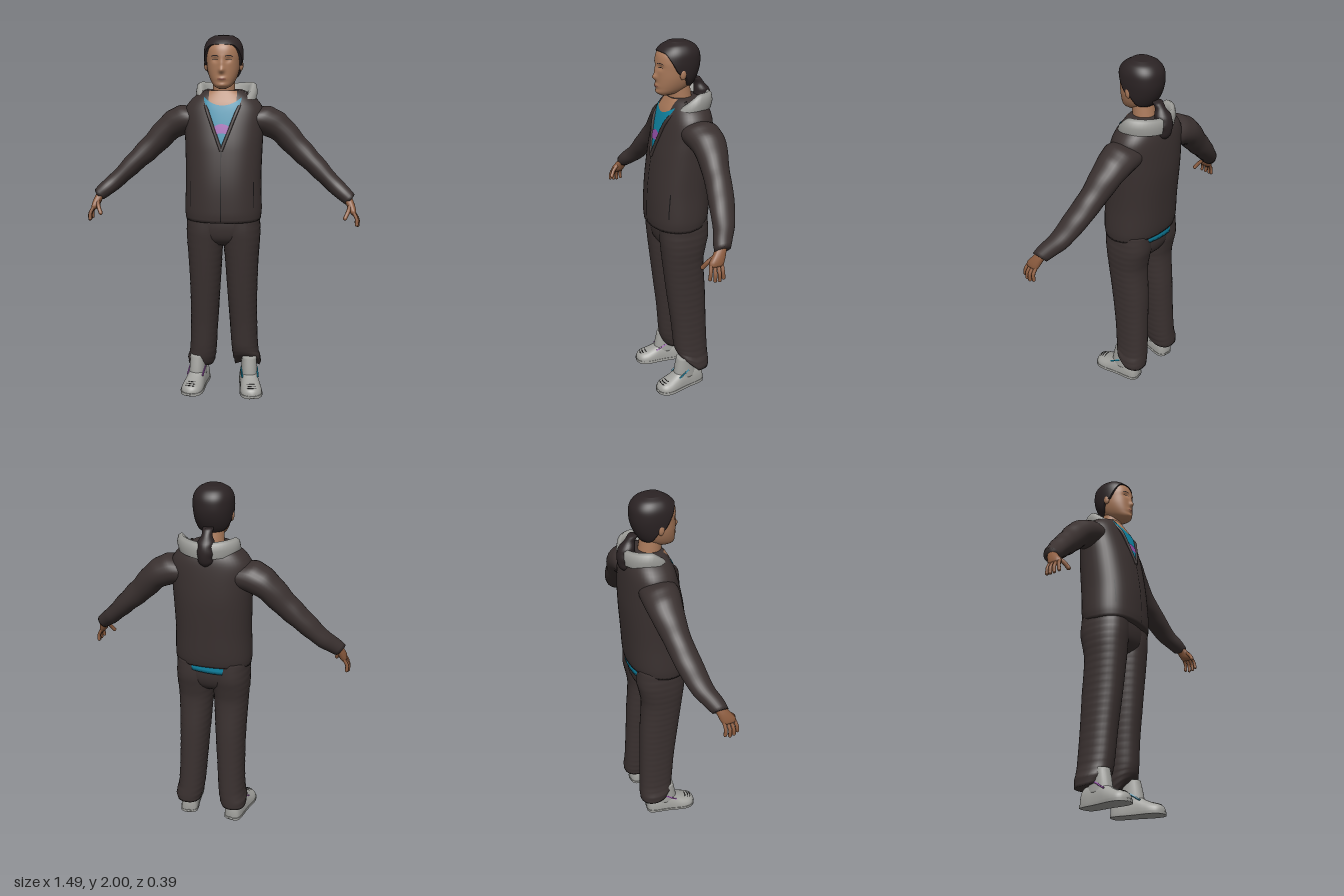
import * as THREE from 'three';
import { mergeVertices } from 'three/addons/utils/BufferGeometryUtils.js';

const mat = (name, color, side = THREE.FrontSide) => {
  const m = new THREE.MeshStandardMaterial({ color, side });
  m.name = name;
  return m;
};

// Smooth interpolation of a keyed table: rows are [key, value, value, ...]
function at(tb, k) {
  let i = 0;
  while (i < tb.length - 2 && k > tb[i + 1][0]) i++;
  const a = tb[i], b = tb[i + 1], h = b[0] - a[0], t = (k - a[0]) / h;
  const slope = (n, c) => {
    const p = tb[Math.max(n - 1, 0)], q = tb[Math.min(n + 1, tb.length - 1)];
    return (q[c] - p[c]) / (q[0] - p[0]);
  };
  return a.slice(1).map((v, j) => {
    const c = j + 1, t2 = t * t, t3 = t2 * t;
    return v * (2 * t3 - 3 * t2 + 1) + b[c] * (3 * t2 - 2 * t3)
      + h * (slope(i, c) * (t3 - 2 * t2 + t) + slope(i + 1, c) * (t3 - t2));
  });
}

// Grid of points from rows of equal length
function skin(rows, orient = false) {
  const w = rows[0].length, idx = [];
  for (let i = 0; i < rows.length - 1; i++) for (let j = 0; j < w - 1; j++) {
    const a = i * w + j, c = a + w;
    idx.push(a, c, a + 1, a + 1, c, c + 1);
  }
  const pts = rows.flat();
  if (orient) {
    let vol = 0;
    const v = (n) => new THREE.Vector3(...pts[idx[n]]);
    for (let n = 0; n < idx.length; n += 3) vol += v(n).dot(v(n + 1).cross(v(n + 2)));
    if (vol < 0) idx.reverse();
  }
  let g = new THREE.BufferGeometry();
  g.setAttribute('position', new THREE.Float32BufferAttribute(pts.flat(), 3));
  g.setIndex(idx);
  g = mergeVertices(g, 1e-5);
  g.computeVertexNormals();
  return g;
}

const power = (v, n) => Math.sign(v) * Math.abs(v) ** (2 / n);

// Closed body through the cross-sections of a table
function loft(tb, ring, rows = 30, segs = 36, n = 2.3) {
  const k0 = tb[0][0], k1 = tb[tb.length - 1][0], out = [];
  for (let i = 0; i <= rows; i++) {
    const k = k0 + (k1 - k0) * i / rows, v = at(tb, k), r = [];
    for (let j = 0; j <= segs; j++) {
      const a = (j % segs) / segs * Math.PI * 2;
      r.push(ring(k, v, power(Math.cos(a), n), power(Math.sin(a), n)));
    }
    out.push(r);
  }
  const cap = (r) => {
    const c = [0, 1, 2].map((q) => r.slice(1).reduce((s, p) => s + p[q], 0) / segs);
    return r.map(() => c);
  };
  return skin([cap(out[0]), ...out, cap(out[rows])], true);
}

// Upright section: half width, front z, back z, optional centre x
const upright = (y, [hx, zf, zb, cx = 0], c, s) => [cx + hx * c, y, (zf + zb) / 2 + (zf - zb) / 2 * s];
const frontZ = (tb, x, y, n = 2.3) => {
  const [hx, zf, zb] = at(tb, y);
  return (zf + zb) / 2 + (zf - zb) / 2 * Math.max(0, 1 - Math.abs(x / hx) ** n) ** (1 / n);
};
// Thin plate lying on a front surface
function plate(zAt, x0, x1, low, high, nx = 24, ny = 10) {
  const rows = [];
  for (let i = 0; i <= nx; i++) {
    const x = x0 + (x1 - x0) * i / nx, a = low(x), b = Math.max(high(x), a + 1e-4), r = [];
    for (let j = 0; j <= ny; j++) {
      const y = b + (a - b) * j / ny;
      r.push([x, y, zAt(x, y)]);
    }
    rows.push(r);
  }
  return skin(rows.reverse());
}
const tube = (pts, r, segs = 24) => new THREE.TubeGeometry(
  new THREE.CatmullRomCurve3(pts.map((p) => new THREE.Vector3(...p))), segs, r, 8);

const TORSO = [[1.01, .208, .168, -.152], [1.06, .213, .172, -.16], [1.22, .208, .166, -.17], [1.4, .212, .142, -.18],
  [1.5, .216, .12, -.178], [1.6, .215, .092, -.17], [1.65, .187, .074, -.16], [1.69, .14, .052, -.14], [1.71, .1, .04, -.12]];
const HEAD = [[1.722, .02, .085, .05], [1.735, .045, .106, -.01], [1.765, .067, .111, -.06], [1.81, .083, .112, -.09],
  [1.86, .09, .112, -.108], [1.9, .092, .112, -.112], [1.94, .087, .102, -.106], [1.97, .066, .075, -.08], [1.985, .035, .035, -.045]];
const gauss = (d, w) => Math.exp(-((d / w) ** 2));
const bump = (x, y) => gauss(x, .014) * (.018 * gauss(y - 1.82, .016) + .009 * gauss(y - 1.85, .03))
  - .009 * gauss(Math.abs(x) - .035, .018) * gauss(y - 1.874, .014)
  + .007 * gauss(x, .022) * gauss(y - 1.776, .011) + .005 * gauss(x, .025) * gauss(y - 1.743, .01);

export function createModel() {
  const model = new THREE.Group();
  const cloth = mat('dark cloth', 0x3a3130, THREE.DoubleSide), face = mat('face skin', 0xa9795a), hand = mat('hand skin', 0x8c5c3f),
    hairMat = mat('hair', 0x2b2324, THREE.DoubleSide), grey = mat('pale grey', 0xa0a09c, THREE.DoubleSide),
    blue = mat('blue', 0x0f83a2, THREE.DoubleSide), purple = mat('purple', 0x9550a8, THREE.DoubleSide),
    black = mat('black', 0x151314, THREE.DoubleSide), lip = mat('lips', 0x8a5546, THREE.DoubleSide);
  const add = (name, geo, m, parent = model) => {
    const mesh = new THREE.Mesh(geo, m);
    mesh.name = name;
    parent.add(mesh);
    return mesh;
  };

  // Jacket body, with the hem rising at the back
  add('jacketBody', loft(TORSO, (y, v, c, s) => {
    const p = upright(y, v, c, s);
    p[1] += .025 * Math.max(0, -s) * Math.max(0, 1 - (y - 1.01) / .1);
    return p;
  }, 44, 48), cloth);
  const chest = (lift) => (x, y) => frontZ(TORSO, x, Math.min(y, 1.71)) + lift;
  const vee = (x) => 1.4 + Math.abs(x) * 2.6, neckline = (x) => 1.635 + 4 * x * x;
  add('shirtFront', plate(chest(.004), -.1, .1, vee, neckline), blue);
  add('shirtArch', plate(chest(.007), -.042, .042, (x) => Math.max(vee(x), 1.492 - 6 * x * x), (x) => 1.54 - 8 * x * x), purple);
  add('throat', plate(chest(.003), -.075, .075, (x) => neckline(x) - .003, () => 1.71), face);
  add('zip', plate(chest(.003), -.002, .002, () => 1.02, () => 1.4, 2, 20), black);
  add('shirtHem', loft([[.985, .185, .09, -.146], [1.06, .19, .1, -.146]], (y, v, c, s) => {
    const p = upright(y, v, c, s);
    p[1] += .012 * (1 + c);
    return p;
  }, 4), blue);

  // Hood lying open round the neck
  const hood = [];
  const profile = [[1.1, -.085], [1.17, -.045], [1.12, -.01], [1, 0], [.86, -.02], [.66, -.1]];
  for (let i = 0; i <= 40; i++) {
    const a = -2.5 + i / 8, f = Math.max(0, Math.abs(a) - 1.45), side = Math.sin(a);
    const y = 1.735 + .015 * Math.abs(side) - .09 * f, r = 1 - .06 * f;
    hood.push(profile.map(([k, d]) => [.012 + .145 * k * r * side, y + d, -.045 - .118 * k * r * Math.cos(a)]));
  }
  add('hood', skin(hood), grey);

  for (const s of [-1, 1]) {
    const side = s > 0 ? 'left' : 'right';
    // Jacket edge and pocket
    const edge = [0, .04, .08, .118].map((x) => [s * x, Math.min(vee(x), 1.7), chest(.004)(x, Math.min(vee(x), 1.7))]);
    add(side + 'JacketEdge', tube(edge, .009), cloth);
    add(side + 'Pocket', plate(chest(.002), s * .172 - .002, s * .172 + .002, () => 1.09, () => 1.23, 2, 12), black);

    // Sleeve: keyed by x, with centre y, centre z and two radii
    const arm = [[.1, 1.56, -.045, .075, .09], [.2, 1.55, -.05, .09, .1], [.3, 1.505, -.058, .075, .088], [.4, 1.405, -.045, .066, .07],
      [.5, 1.31, -.024, .056, .068], [.6, 1.212, .008, .046, .058], [.65, 1.17, .038, .044, .052], [.69, 1.137, .058, .036, .042]];
    add(side + 'Sleeve', loft(arm, (x, [y, z, r, rz], c, q) => {
      const k = r * (1 + .025 * Math.sin(x * 75));
      return [s * (x + .64 * k * c), y + .77 * k * c, z + rz * q];
    }, 44, 28, 2), cloth);

    // Hand
    const h = new THREE.Group();
    h.name = side + 'Hand';
    model.add(h);
    add('palm', loft([[0, .67, 1.155, .055, .022, .028], [.4, .69, 1.12, .075, .02, .034], [.8, .704, 1.085, .095, .018, .04],
      [1, .712, 1.066, .1, .012, .034]], (t, [x, y, z, r, rz], c, q) => [s * (x + r * c), y + r * .4 * c, z + rz * q], 12, 18), hand, h);
    const digits = [[.69, 1.11, .1, .678, 1.08, .132, .663, 1.05, .15]];
    for (let i = 0; i < 4; i++) {
      const z = .128 - i * .019, bend = [0, .008, .01, .004][i];
      digits.push([.71, 1.075, z, .725 + bend, 1.045 - bend, z + .008 - i * .002, .726 + bend, 1.015 - bend, z + .012 - i * .004]);
    }
    digits.forEach((d, i) => {
      const p = [0, 3, 6].map((j) => [s * d[j], d[j + 1], d[j + 2]]), r = i ? .0095 : .011;
      add('finger' + i, tube(p, r, 8), hand, h);
      add('fingertip' + i, new THREE.SphereGeometry(r, 10, 8), hand, h).position.set(...p[2]);
    });

    // Trouser leg, gathered at the hem
    const leg = [[.1, .072, .025, -.138, .138], [.14, .08, .045, -.14, .135], [.2, .077, .058, -.137, .124], [.4, .079, .076, -.13, .113],
      [.6, .086, .1, -.124, .106], [.8, .096, .122, -.112, .103], [.88, .102, .13, -.124, .103], [.95, .103, .136, -.138, .103], [1.05, .1, .135, -.135, .1]];
    add(side + 'TrouserLeg', loft(leg, (y, [hx, zf, zb, cx], c, q) => {
      const low = Math.max(0, 1 - (y - .1) / .16), k = 1 + (.012 + .03 * low) * Math.sin(y * 150 + c * 2);
      const p = upright(y, [hx * k, zf, zb, s * cx], c, q);
      p[1] += (s > 0 ? .08 : .015) * low * Math.max(0, q);
      return p;
    }, 70, 32), cloth);

    // Shoe: sole, upper, ankle, laces and toe marks
    const shoe = new THREE.Group();
    shoe.name = side + 'Shoe';
    shoe.position.set(s * .148, 0, 0);
    shoe.rotation.y = s * .17;
    model.add(shoe);
    const body = [[-.102, .02, .07], [-.09, .042, .1], [-.05, .051, .115], [0, .052, .12], [.05, .055, .11], [.09, .06, .086],
      [.13, .062, .068], [.165, .054, .057], [.185, .036, .045], [.194, .015, .03]];
    add('upper', loft(body, (z, [w, t], c, q) => [w * c, q > 0 ? .012 + (t - .012) * q : .008, z], 36, 32), grey, shoe);
    add('sole', loft(body, (z, [w], c, q) => [(w + .003) * c, q > 0 ? .016 : 0, z * 1.01], 36, 32, 4), grey, shoe);
    add('ankle', loft([[.06, .048, .085, -.07], [.12, .045, .075, -.05], [.19, .041, .06, -.04]], upright, 10, 24), grey, shoe);
    for (const e of [-1, 1]) for (let i = 0; i < 3; i++) {
      const lace = add('lace', new THREE.BoxGeometry(.007, .007, .028), s > 0 ? blue : purple, shoe);
      lace.position.set(e * .046, .084 + i * .012, .062 - i * .019);
      lace.rotation.set(.5, 0, e * .5);
    }
    const top = (z) => at(body, z)[1];
    for (const z of [.14, .158, .172]) {
      const arc = [-1, -.5, 0, .5, 1].map((u) => [u * .026, .012 + (top(z) - .012) * (1 - .08 * u * u), z - .006 * u * u]);
      add('toeMark', tube(arc, .0025, 10), black, shoe);
    }

    // Ear, eye and brow
    const ear = add(side + 'Ear', new THREE.SphereGeometry(1, 14, 10), face);
    ear.scale.set(.012, .03, .018);
    ear.position.set(s * .094, 1.842, .002);
    const skinZ = (x, y) => frontZ(HEAD, x, y, 2.2) + bump(x, y) + .002;
    const arcAt = (y, bow) => (x) => y - bow * ((Math.abs(x) - .036) / .018) ** 2;
    add(side + 'Eye', plate(skinZ, s * .036 - .016, s * .036 + .016, arcAt(1.871, -.001), arcAt(1.875, .002), 12, 2), black);
    add(side + 'Brow', plate(skinZ, s * .037 - .02, s * .037 + .02, arcAt(1.893, .004), arcAt(1.898, .005), 12, 2), hairMat);
    if (s > 0) add('mouth', plate(skinZ, -.024, .024, (x) => 1.769 + 8 * x * x, (x) => 1.781 - 8 * x * x, 16, 4), lip);
  }
  add('trouserSeat', loft([[.865, .09, .08, -.08], [.9, .15, .12, -.115], [.96, .195, .136, -.136], [1.05, .2, .135, -.135]], upright, 14), cloth);

  // Head and neck
  add('head', loft(HEAD, (y, v, c, q) => {
    const p = upright(y, v, c, q);
    if (q > 0) p[2] += bump(p[0], y);
    return p;
  }, 70, 80, 2.2), face);
  const neck = add('neck', new THREE.CylinderGeometry(.056, .066, .2, 28), face);
  neck.position.set(0, 1.7, -.022);
  neck.rotation.x = .12;

  // Swept-back hair with a shaped hairline
  const hairline = [[-1, 1.765], [-.5, 1.78], [-.12, 1.825], [.2, 1.85], [.5, 1.905], [.75, 1.942], [1, 1.952]];
  const hair = [];
  for (let i = 0; i <= 26; i++) {
    const v = Math.sin(Math.max(0, i - 1) / 25 * Math.PI / 2), r = [];
    for (let j = 0; j <= 64; j++) {
      const a = (j % 64) / 32 * Math.PI, q = Math.sin(a), c = Math.cos(a);
      const y0 = at(hairline, q)[0], y = y0 + (1.985 - y0) * v, out = i ? .013 : -.004;
      const [hx, zf, zb] = at(HEAD, y);
      r.push(i === 26 ? [0, 2, -.005]
        : upright(y + .011 * v ** 3, [hx + out, zf + out * .6, zb - out], power(c, 2.2), power(q, 2.2)));
    }
    hair.push(r);
  }
  add('hair', skin(hair), hairMat);
  add('ponytail', loft([[1.605, .01, -.15], [1.63, .034, -.152], [1.68, .047, -.15], [1.73, .043, -.146], [1.77, .028, -.128], [1.8, .026, -.108]],
    (y, [r, z], c, q) => [r * c * (1 + .06 * Math.sin(y * 120)), y, z + r * q], 24, 24, 2), hairMat);

  return model;
}
